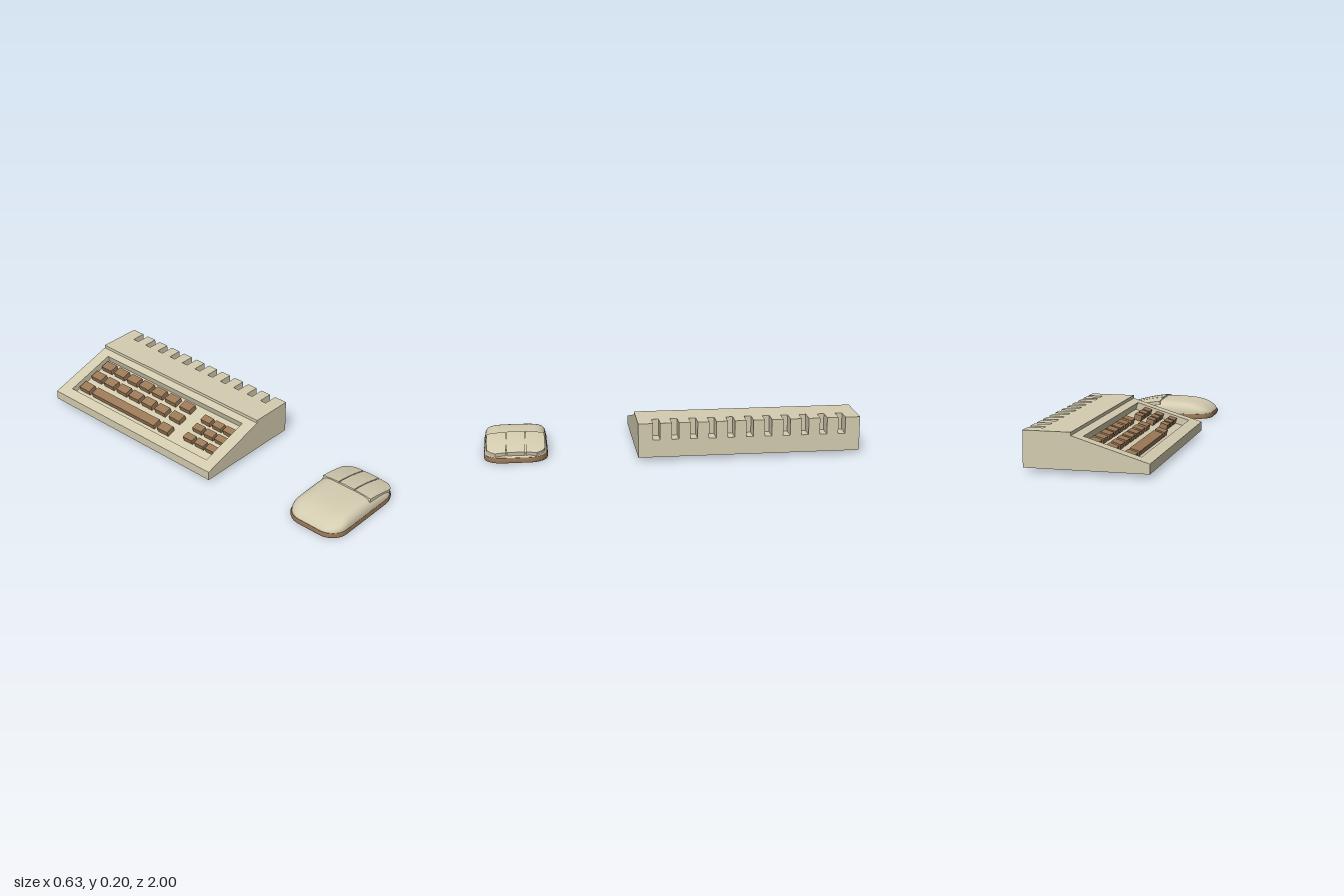
import * as THREE from 'three';
import { toCreasedNormals } from 'three/addons/utils/BufferGeometryUtils.js';

const cream = new THREE.MeshStandardMaterial({ color: 0xd4ccb0 });
const brown = new THREE.MeshStandardMaterial({ color: 0x9c7a58 });

const ANGLE = Math.atan2(0.118, 0.39);
const slopeY = (x) => 0.07 + (x + 0.318) * Math.tan(ANGLE);

function add(group, name, geometry, material) {
  const mesh = new THREE.Mesh(geometry, material);
  mesh.name = name;
  group.add(mesh);
  return mesh;
}

function extrude(points, depth) {
  const shape = new THREE.Shape(points.map(([x, y]) => new THREE.Vector2(x, y)));
  return new THREE.ExtrudeGeometry(shape, { depth, bevelEnabled: false });
}

// Skin over outline loops; each level is { s: scale, y: height or (x) => height }
function loft(outline, levels) {
  const n = outline.length;
  const pos = [];
  const index = [];
  levels.forEach(({ s, y }, i) => {
    outline.forEach((p, j) => {
      pos.push(p.x * s, typeof y === 'function' ? y(p.x * s) : y, p.y * s);
      if (i === levels.length - 1) return;
      const a = i * n + j, c = i * n + (j + 1) % n, b = a + n, d = c + n;
      if (s > 0) index.push(a, b, c);
      if (levels[i + 1].s > 0) index.push(c, b, d);
      else if (s === 0) return;
    });
  });
  const g = new THREE.BufferGeometry();
  g.setAttribute('position', new THREE.Float32BufferAttribute(pos, 3));
  g.setIndex(index);
  return g;
}

function buildKeyboard() {
  const keyboard = new THREE.Group();
  keyboard.name = 'keyboard';

  // Case: two solid ends and a middle with the sunken key tray
  const dx = 0.04 * Math.sin(ANGLE), dy = 0.04 * Math.cos(ANGLE);
  const lo = -0.26, hi = 0.03;
  const tray = [
    [hi, slopeY(hi)], [hi + dx, slopeY(hi) - dy],
    [lo + dx, slopeY(lo) - dy], [lo, slopeY(lo)],
  ];
  const profile = (cut) => [
    [-0.318, 0.02], [0.235, 0.02], [0.235, 0.205], [0.072, 0.205], [0.072, 0.188],
    ...cut, [-0.318, 0.07],
  ];
  const section = (name, z0, z1, cut) =>
    add(keyboard, name, extrude(profile(cut), z1 - z0), cream).position.z = z0;
  section('caseRightEnd', -1, -0.93, []);
  section('caseMiddle', -0.93, 0.12, tray);
  section('caseLeftEnd', 0.12, 0.19, []);

  // Rear wall with a row of open vent slots
  const comb = [[-0.19, 0.02], [1, 0.02], [1, 0.205]];
  for (let i = 0; i < 11; i++) {
    const c = 0.902 - i * 0.0995;
    comb.push([c + 0.019, 0.205], [c + 0.019, 0.115], [c - 0.019, 0.115], [c - 0.019, 0.205]);
  }
  comb.push([-0.19, 0.205]);
  add(keyboard, 'ventedRearWall', extrude(comb, 0.081).rotateY(Math.PI / 2), cream)
    .position.x = 0.235;

  // Keys stand square to the sloping tray
  const key = (name, x0, x1, z0, z1) => {
    const h = 0.03;
    const w = (x1 - x0 - h * Math.sin(ANGLE)) / Math.cos(ANGLE);
    const mesh = add(keyboard, name, new THREE.BoxGeometry(w, h, z1 - z0), brown);
    const cx = (x0 + x1) / 2;
    mesh.position.set(cx, slopeY(cx) - 0.025 / Math.cos(ANGLE), (z0 + z1) / 2);
    mesh.rotation.z = ANGLE;
  };
  const columns = [-0.913, -0.81, -0.706, -0.606, -0.505, -0.4, -0.288];
  for (const x of [-0.125, -0.04]) {
    for (const z of columns) key('key', x, x + 0.058, z, z + 0.078);
  }
  key('key', -0.22, -0.16, -0.913, -0.835);
  key('spaceBar', -0.22, -0.16, -0.81, -0.315);
  key('key', -0.22, -0.16, -0.288, -0.21);
  for (const x of [-0.195, -0.121, -0.053]) {
    for (const z of [-0.113, -0.03, 0.05]) key('padKey', x, x + 0.048, z, z + 0.064);
  }
  return keyboard;
}

function buildMouse() {
  const mouse = new THREE.Group();
  mouse.name = 'mouse';
  mouse.position.z = 0.83;

  // Rounded plan outline
  const HX = 0.271, HZ = 0.17, R = 0.1;
  const path = new THREE.Path();
  [[1, -1], [1, 1], [-1, 1], [-1, -1]].forEach(([sx, sz], i) => {
    const a = (i - 1) * Math.PI / 2;
    path.absarc(sx * (HX - R), sz * (HZ - R), R, a, a + Math.PI / 2, false);
  });
  path.closePath();
  const outline = path.getSpacedPoints(96).slice(0, -1);

  // Base
  const base = loft(outline, [
    { s: 0, y: 0 }, { s: 0.985, y: 0 }, { s: 1, y: 0.013 },
    { s: 1, y: 0.02 }, { s: 0.985, y: 0.028 }, { s: 0, y: 0.028 },
  ]);
  add(mouse, 'mouseBase', toCreasedNormals(base, 1), brown);

  // Domed shell, falling a little faster towards the buttons
  const levels = [];
  for (let k = 0; k <= 20; k++) {
    const s = k === 20 ? 0 : Math.cos((k / 20) * Math.PI / 2);
    const rim = Math.pow(Math.max(0, 1 - s ** 6), 0.4);
    const y = (x) => {
      const u = Math.min(1, Math.abs(x) / 0.265);
      const arch = Math.pow(1 - u ** 2.2, 0.35) * (x > 0 ? 1 - 0.3 * u * u : 1);
      return 0.027 + 0.071 * arch * rim;
    };
    levels.push({ s: s * 0.976, y });
  }
  const shell = loft(outline, levels);
  shell.computeVertexNormals();
  add(mouse, 'mouseShell', shell, cream);

  // Three curved button plates
  const halfWidth = (x) => {
    const d = Math.min(R, Math.max(0, x - (HX - R)));
    return HZ - R + Math.sqrt(R * R - d * d) - 0.006;
  };
  const button = (name, z0, z1) => {
    const g = new THREE.BoxGeometry(1, 1, 1, 14, 1, 6);
    const p = g.attributes.position;
    for (let i = 0; i < p.count; i++) {
      const t = p.getX(i) + 0.5;
      const under = p.getY(i) < 0;
      const x = 0.04 + 0.22 * t;
      const w = halfWidth(x);
      const z = THREE.MathUtils.clamp(z0 + (z1 - z0) * (p.getZ(i) + 0.5), -w, w);
      const top = 0.106 - 0.024 * t - 0.025 * t * t - 0.45 * z * z;
      p.setXYZ(i, x - (under ? 0.004 : 0), top - (under ? 0.02 : 0), z);
    }
    add(mouse, name, toCreasedNormals(g, 0.6), cream);
  };
  button('rightButton', -0.154, -0.053);
  button('middleButton', -0.048, 0.048);
  button('leftButton', 0.053, 0.154);
  return mouse;
}

export function createModel() {
  const model = new THREE.Group();
  model.name = 'keyboardAndMouse';
  model.add(buildKeyboard(), buildMouse());
  return model;
}
